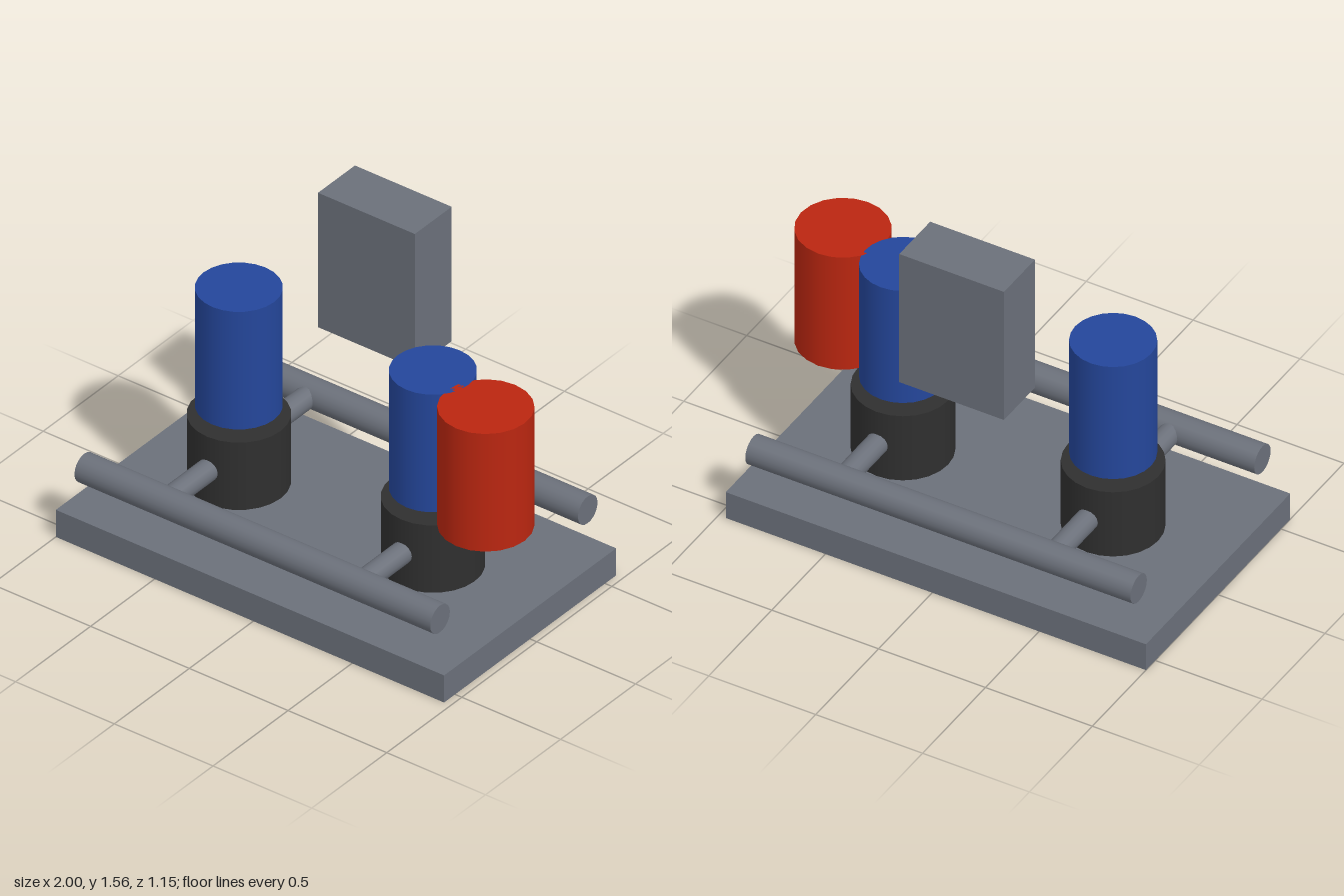
import * as THREE from 'three';

export function createModel() {
  const model = new THREE.Group();
  model.name = 'pumpSkid';

  const material = (name, color) => {
    const m = new THREE.MeshStandardMaterial({ color });
    m.name = name;
    return m;
  };
  const steel = material('steelGrey', 0x6b707a);
  const black = material('castBlack', 0x2f2f2f);
  const blue = material('motorBlue', 0x24469a);
  const red = material('vesselRed', 0xba2610);

  const add = (name, geometry, mat, x, y, z, parent = model) => {
    const mesh = new THREE.Mesh(geometry, mat);
    mesh.name = name;
    mesh.position.set(x, y, z);
    parent.add(mesh);
    return mesh;
  };
  const cylinder = (radius, length, sides) =>
    new THREE.CylinderGeometry(radius, radius, length, sides);

  // Base plate and control panel
  add('basePlate', new THREE.BoxGeometry(1.966, 0.132, 1.147), steel, -0.017, 0.066, 0);
  add('controlPanel', new THREE.BoxGeometry(0.49, 0.655, 0.246), steel, -0.018, 1.232, -0.327);

  // Long header pipes, front and back
  for (const [name, z] of [['frontHeader', 0.492], ['backHeader', -0.492]]) {
    add(name, cylinder(0.0655, 1.802, 20), steel, -0.017, 0.33, z).rotation.z = Math.PI / 2;
  }

  // Two pumps, each with a motor above and a branch pipe to both headers
  for (const [side, x] of [['right', -0.509], ['left', 0.474]]) {
    const pump = new THREE.Group();
    pump.name = side + 'Pump';
    pump.position.x = x;
    model.add(pump);
    add(side + 'PumpBody', cylinder(0.2115, 0.328, 24), black, 0, 0.33, 0, pump);
    add(side + 'Motor', cylinder(0.178, 0.573, 24), blue, 0, 0.822, 0, pump);
    add(side + 'BranchPipe', cylinder(0.049, 0.984, 16), steel, 0, 0.33, 0, pump)
      .rotation.x = Math.PI / 2;
  }

  // Pressure vessel
  add('pressureVessel', cylinder(0.197, 0.573, 20), red, 0.803, 0.822, 0.081);

  return model;
}
